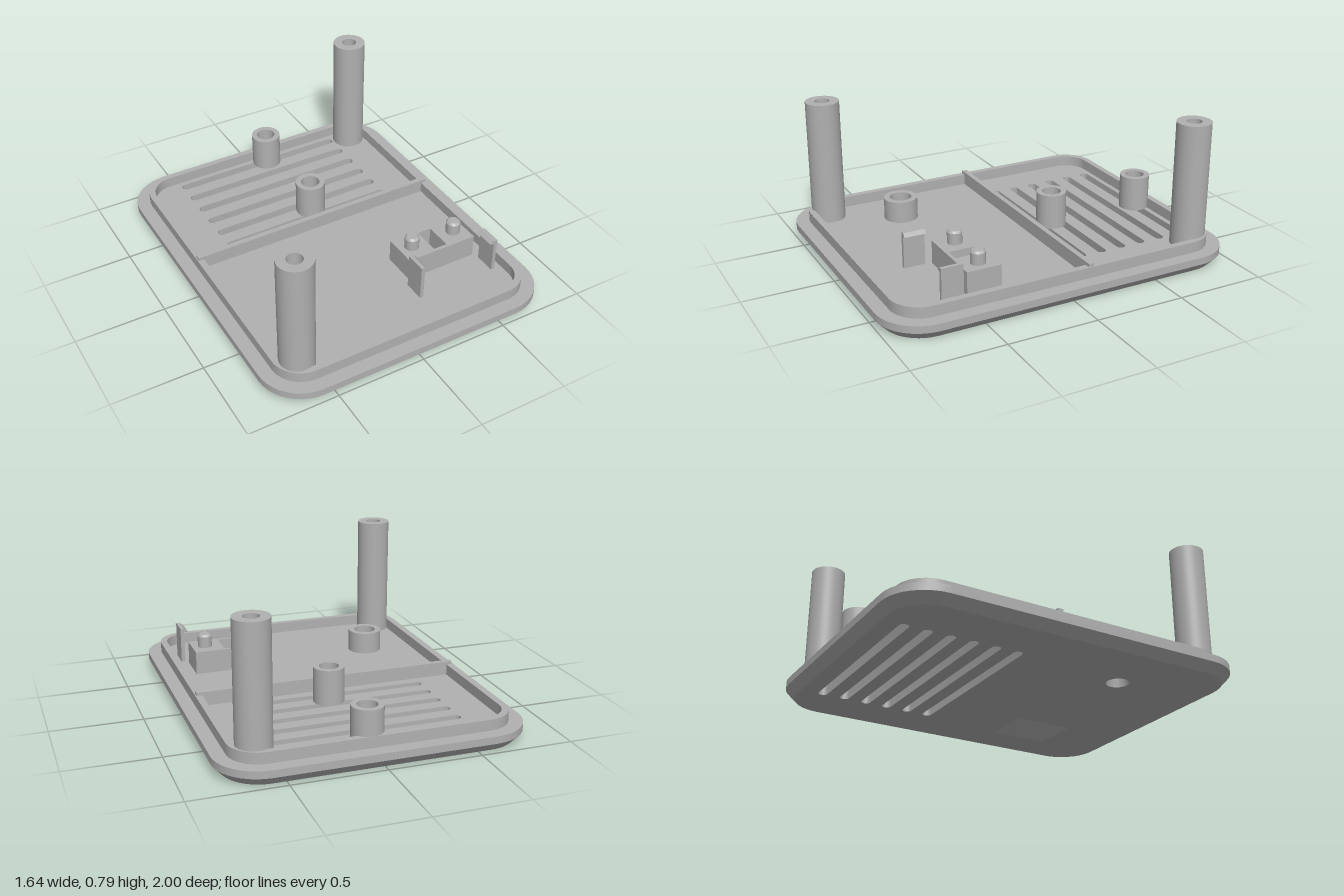
import * as THREE from 'three';
import { mergeGeometries, toCreasedNormals } from 'three/addons/utils/BufferGeometryUtils.js';

const FLOOR = 0.09, LIP_TOP = 0.15;

// Outline of a rounded rectangle on the ground plane, as [x, z] points
function outline(cx, cz, hw, hd, r = 0, n = 10) {
  const pts = [];
  const steps = r > 0 ? n : 0;
  [[1, 1], [-1, 1], [-1, -1], [1, -1]].forEach(([sx, sz], q) => {
    for (let i = 0; i <= steps; i++) {
      const a = (q + (steps ? i / steps : 0)) * Math.PI / 2;
      pts.push([cx + sx * (hw - r) + r * Math.cos(a), cz + sz * (hd - r) + r * Math.sin(a)]);
    }
  });
  return pts;
}
const circle = (cx, cz, r) => outline(cx, cz, r, r, r, 10);

// Wall between two matching outlines, facing outward or into a hole
function wall(a, ya, b, yb, inward = false) {
  const n = a.length, pos = [], index = [];
  a.forEach(([x, z]) => pos.push(x, ya, z));
  b.forEach(([x, z]) => pos.push(x, yb, z));
  for (let i = 0; i < n; i++) {
    const j = (i + 1) % n;
    if (inward) index.push(i, j, n + i, j, n + j, n + i);
    else index.push(i, n + i, j, j, n + i, n + j);
  }
  const g = new THREE.BufferGeometry();
  g.setAttribute('position', new THREE.Float32BufferAttribute(pos, 3));
  g.setIndex(index);
  return g;
}

// Flat horizontal face with holes, facing up or down
function face(edge, holes, y, up = true) {
  const s = up ? -1 : 1;
  const to2 = (pts) => pts.map(([x, z]) => new THREE.Vector2(x, s * z));
  const shape = new THREE.Shape(to2(edge));
  holes.forEach((h) => shape.holes.push(new THREE.Path(to2(h))));
  const g = new THREE.ShapeGeometry(shape);
  g.rotateX(s * Math.PI / 2);
  g.translate(0, y, 0);
  return g;
}

// Join pieces and keep their edges sharp
function join(parts) {
  const clean = parts.map((p) => {
    const g = p.index ? p.toNonIndexed() : p;
    g.deleteAttribute('uv');
    g.deleteAttribute('normal');
    return g;
  });
  return toCreasedNormals(mergeGeometries(clean), 0.6);
}

export function createModel() {
  const group = new THREE.Group();
  const plastic = new THREE.MeshStandardMaterial({ color: 0xb0b0b0 });
  plastic.name = 'grey plastic';
  const add = (name, geometry, x = 0, y = 0, z = 0) => {
    const mesh = new THREE.Mesh(geometry, plastic);
    mesh.name = name;
    mesh.position.set(x, y, z);
    group.add(mesh);
  };
  const turned = (profile) =>
    join([new THREE.LatheGeometry(profile.map(([r, y]) => new THREE.Vector2(r, y)), 40)]);

  // Base plate: chamfered underside, vent slots, cable hole and tapered switch opening
  const low = outline(0, 0, 0.775, 0.955, 0.2);
  const rim = outline(0, 0, 0.82, 1, 0.24);
  const holes = [];
  for (let i = 0; i < 6; i++) {
    const slot = outline(0, -0.836 + i * 0.1245, 0.517, 0.025, 0.025, 8);
    holes.push([slot, slot]);
  }
  holes.push([circle(-0.43, 0.435, 0.062), circle(-0.43, 0.435, 0.05)]);
  const switchSlot = outline(0.42, 0.433, 0.04, 0.078);
  holes.push([outline(0.42, 0.433, 0.14, 0.165), switchSlot]);
  add('basePlate', join([
    face(low, holes.map((h) => h[0]), 0, false),
    wall(low, 0, rim, 0.05),
    wall(rim, 0.05, rim, FLOOR),
    face(rim, holes.map((h) => h[1]), FLOOR),
    ...holes.map(([a, b]) => wall(a, 0, b, FLOOR, true)),
  ]));

  // Raised lip around the inside
  const lipOut = outline(0, 0, 0.745, 0.925, 0.165);
  const lipIn = outline(0, 0, 0.708, 0.89, 0.13);
  add('lip', join([
    wall(lipOut, FLOOR, lipOut, LIP_TOP),
    wall(lipIn, FLOOR, lipIn, LIP_TOP, true),
    face(lipOut, [lipIn], LIP_TOP),
  ]));

  // Divider rib across the floor
  add('dividerRib', new THREE.BoxGeometry(1.478, 0.077, 0.03), 0, FLOOR + 0.0385, -0.12);

  // Tall corner posts and short bosses, each with a blind bore
  const boss = (R, r, top) =>
    turned([[0, FLOOR], [R, FLOOR], [R, top], [r, top], [r, FLOOR + 0.01], [0, FLOOR + 0.01]]);
  [[-0.625, 0.802], [0.618, -0.808]].forEach(([x, z]) =>
    add('cornerPost', boss(0.094, 0.042, 0.785), x, 0, z));
  [-0.84, -0.28].forEach((z) => add('ventBoss', boss(0.084, 0.053, 0.287), 0.052, 0, z));

  // Open collar over the cable hole
  add('cableCollar',
    turned([[0.095, FLOOR], [0.095, 0.213], [0.062, 0.213], [0.062, FLOOR]]), -0.43, 0, 0.435);

  // Switch mount block with slot and two pegs
  const block = outline(0.42, 0.433, 0.21, 0.097);
  add('switchMount', join([
    wall(block, FLOOR, block, 0.22),
    face(block, [switchSlot], 0.22),
    wall(switchSlot, FLOOR, switchSlot, 0.22, true),
  ]));
  [0.285, 0.555].forEach((x) =>
    add('mountPeg', turned([[0.04, 0.22], [0.04, 0.283], [0.03, 0.295], [0, 0.295]]), x, 0, 0.433));

  // Pair of snap clips with hooks facing each other
  [-1, 1].forEach((side) => {
    const profile = [[0.243, FLOOR], [0.243, 0.29], [0.222, 0.29], [0.2, 0.272], [0.222, 0.268], [0.222, FLOOR]];
    const shape = new THREE.Shape(profile.map(([x, y]) => new THREE.Vector2(side * x, y)));
    add('snapClip', new THREE.ExtrudeGeometry(shape, { depth: 0.12, bevelEnabled: false }), 0.423, 0, 0.565);
  });

  return group;
}
